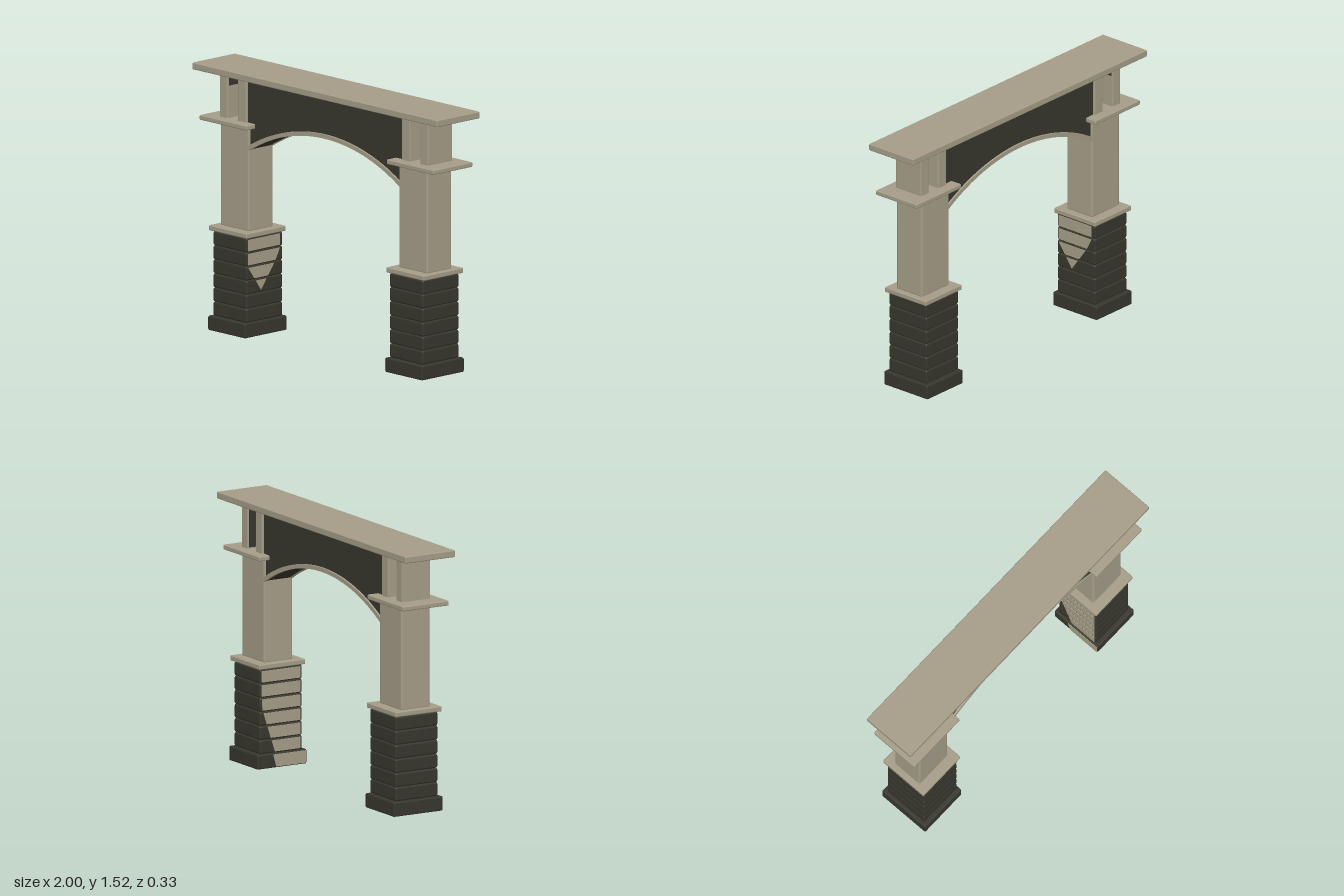
import * as THREE from 'three';
import { RoundedBoxGeometry } from 'three/addons/geometries/RoundedBoxGeometry.js';

const paleStone = new THREE.MeshStandardMaterial({ color: 0xa59d88 });
const darkStone = new THREE.MeshStandardMaterial({ color: 0x37362d });
paleStone.name = 'paleStone';
darkStone.name = 'darkStone';

// Softly rounded block given by its limits in x and y and its half depth
function block(parent, name, mat, x0, x1, y0, y1, halfZ, r = 0.006) {
  const mesh = new THREE.Mesh(new RoundedBoxGeometry(x1 - x0, y1 - y0, halfZ * 2, 2, r), mat);
  mesh.position.set((x0 + x1) / 2, (y0 + y1) / 2, 0);
  mesh.name = name;
  parent.add(mesh);
}

// Thin plate in the z-y plane, sitting across the surface at x
function plate(parent, name, mat, x, corners) {
  const shape = new THREE.Shape(corners.map(([z, y]) => new THREE.Vector2(z, y)));
  const mesh = new THREE.Mesh(new THREE.ExtrudeGeometry(shape, { depth: 0.006, bevelEnabled: false }), mat);
  mesh.rotation.y = -Math.PI / 2;
  mesh.position.x = x + 0.003;
  mesh.name = name;
  parent.add(mesh);
}

// Extrude a front outline between two depths
function slice(parent, name, mat, shape, z0, z1) {
  const mesh = new THREE.Mesh(
    new THREE.ExtrudeGeometry(shape, { depth: z1 - z0, bevelEnabled: false, curveSegments: 40 }), mat);
  mesh.position.z = z0;
  mesh.name = name;
  parent.add(mesh);
}

const lerp = THREE.MathUtils.lerp;
const ramp = (y, a, b) => THREE.MathUtils.clamp((y - a) / (b - a), 0, 1);

// Extent in z of the pale weathering on each inner base face at height y
const weathering = {
  1: y => [lerp(-0.04, -0.128, ramp(y, 0.085, 0.35)), 0.128],
  '-1': y => [lerp(0.03, -0.115, ramp(y, 0.26, 0.46)), lerp(0.03, 0.128, ramp(y, 0.26, 0.4))],
};

function pier(s) {
  const g = new THREE.Group();
  g.name = s > 0 ? 'leftPier' : 'rightPier';
  const add = (name, mat, xa, xb, ...rest) =>
    block(g, name, mat, Math.min(s * xa, s * xb), Math.max(s * xa, s * xb), ...rest);

  // Dark base: foot and six courses
  add('foot', darkStone, 0.57, 0.875, 0, 0.083, 0.163, 0.008);
  for (let i = 0; i < 6; i++) {
    const y0 = 0.083 + i * 0.081, y1 = y0 + 0.081;
    add('baseCourse', darkStone, 0.582, 0.857, y0, y1, 0.14, 0.011);
    const lo = Math.max(y0 + 0.008, s < 0 ? 0.26 : 0), hi = y1 - 0.008;
    if (lo < hi) {
      const [a, b] = weathering[s](lo), [c, d] = weathering[s](hi);
      plate(g, 'weatheredFace', paleStone, s * 0.582, [[a, lo], [b, lo], [d, hi], [c, hi]]);
    }
  }
  if (s > 0) plate(g, 'weatheredFoot', paleStone, 0.57,
    [[-0.04, 0.006], [0.157, 0.006], [0.157, 0.077], [-0.06, 0.077]]);

  // Shaft between two ledges
  add('baseLedge', paleStone, 0.568, 0.878, 0.572, 0.602, 0.153);
  add('shaft', paleStone, 0.61, 0.845, 0.595, 1.205, 0.095, 0.012);
  add('upperLedge', paleStone, 0.573, 0.955, 1.195, 1.223, 0.152);

  // Pair of posts under the deck, with a stained face in the gap
  add('innerPost', paleStone, 0.632, 0.703, 1.215, 1.49, 0.095, 0.008);
  add('outerPost', paleStone, 0.785, 0.852, 1.215, 1.49, 0.095, 0.008);
  const low = s > 0 ? 1.23 : 1.41;
  plate(g, 'stainedFace', darkStone, s * 0.785,
    [[-0.085, low], [0.085, low], [0.085, 1.478], [-0.085, 1.478]]);
  return g;
}

export function createModel() {
  const model = new THREE.Group();
  model.name = 'archway';
  model.add(pier(1), pier(-1));

  block(model, 'deck', paleStone, -1, 1, 1.48, 1.52, 0.165);

  // Arched wall between the piers
  const R = 1.186, cy = 0.054, half = 0.555;
  const from = Math.PI / 2 - half, to = Math.PI / 2 + half;
  const wall = new THREE.Shape();
  wall.absarc(0, cy, R, from, to, false);
  wall.lineTo(-0.64, 1.49);
  wall.lineTo(0.64, 1.49);
  slice(model, 'archWall', darkStone, wall, -0.083, 0.083);

  // Pale moulding along both edges of the arch
  const trim = new THREE.Shape();
  trim.absarc(0, cy, R - 0.003, from, to, false);
  trim.absarc(0, cy, R + 0.021, to, from, true);
  slice(model, 'frontArchTrim', paleStone, trim, 0.076, 0.094);
  slice(model, 'backArchTrim', paleStone, trim, -0.094, -0.076);
  return model;
}
